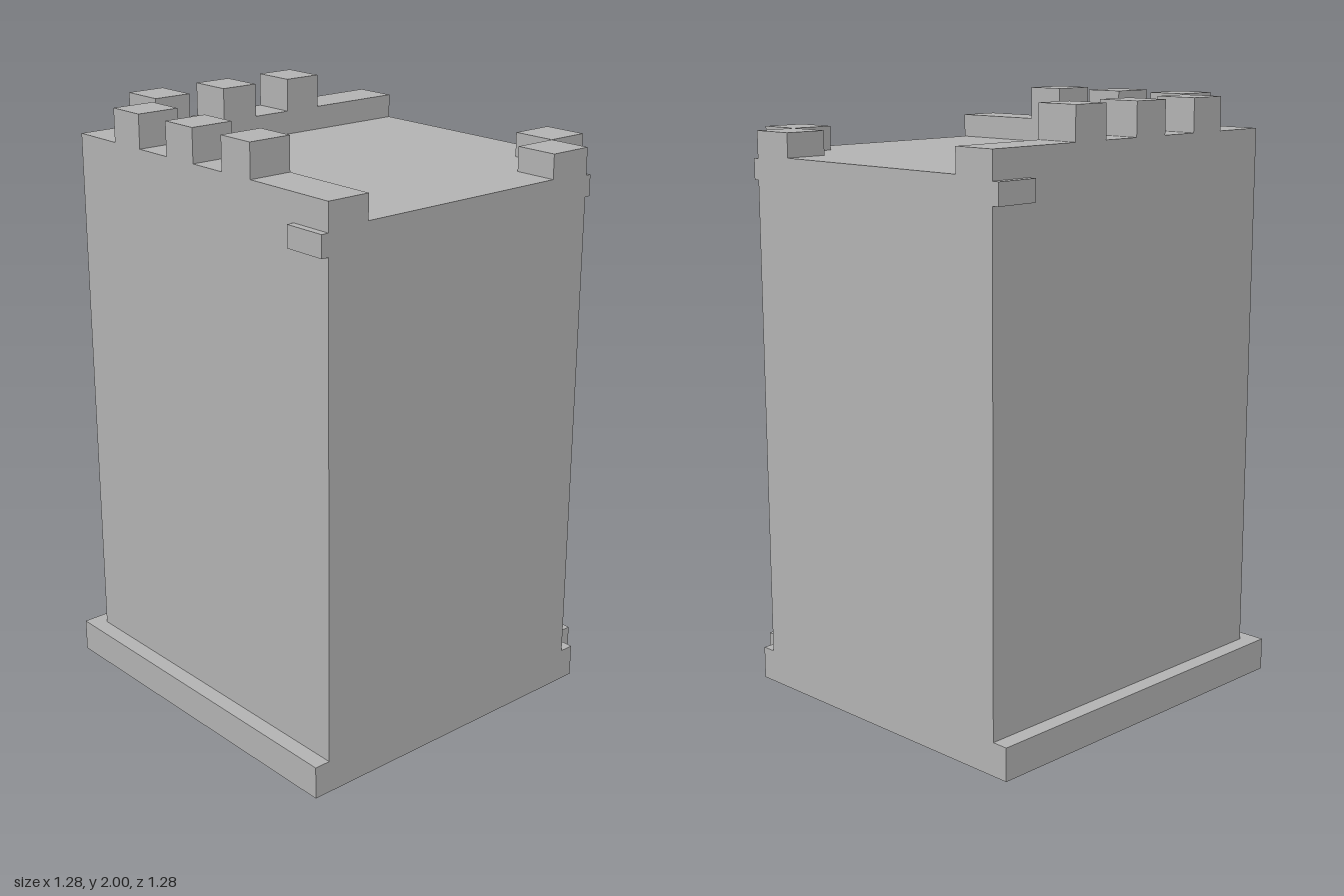
import * as THREE from 'three';

export function createModel() {
  const group = new THREE.Group();
  const stone = new THREE.MeshStandardMaterial({ color: 0xb4b4b4 });
  stone.name = 'grey stone';

  const add = (name, geometry) => {
    const mesh = new THREE.Mesh(geometry, stone);
    mesh.name = name;
    group.add(mesh);
  };
  // Box given by its limits on each axis
  const box = (name, x0, x1, y0, y1, z0, z1) => {
    const g = new THREE.BoxGeometry(x1 - x0, y1 - y0, z1 - z0);
    g.translate((x0 + x1) / 2, (y0 + y1) / 2, (z0 + z1) / 2);
    add(name, g);
  };
  // Upright prism from a plan outline in x and z
  const prism = (name, shape, y0, y1) => {
    const g = new THREE.ExtrudeGeometry(shape, { depth: y1 - y0, bevelEnabled: false });
    g.rotateX(Math.PI / 2);
    g.translate(0, y1, 0);
    add(name, g);
  };
  // Square plan with a notch in the front left corner
  const plan = (min, max, notch) => [
    [min, min], [max, min], [max, notch], [notch, notch], [notch, max], [min, max],
  ].map(([x, z]) => new THREE.Vector2(x, z));
  const ring = (outer, inner) => {
    const shape = new THREE.Shape(outer);
    shape.holes.push(new THREE.Path(inner));
    return shape;
  };

  const back = -0.585, inner = -0.435, edge = 0.64, notch = 0.49;
  const deck = 1.81, wallTop = 1.89;

  // Tower block and roof deck
  prism('towerBody', new THREE.Shape(plan(back, edge, notch)), 0.11, deck);

  // Hollow plinth: outer rim, inner frame and crossing ribs
  prism('plinthRim', ring(plan(-edge, edge, 0.54), plan(-0.6, 0.6, 0.5)), 0, 0.11);
  prism('plinthFrame', ring(plan(-0.57, 0.57, 0.47), plan(-0.53, 0.53, 0.43)), 0, 0.11);
  // Ledge on the sides where the plinth steps out past the walls
  prism('plinthLedge', new THREE.Shape(plan(-0.62, 0.62, 0.52)), 0.1, 0.11);
  box('plinthRibAcross', -0.62, 0.62, 0, 0.105, -0.03, 0.03);
  box('plinthRibAlong', -0.03, 0.03, 0, 0.105, -0.62, 0.62);

  // Parapet along the back and right sides
  box('backParapet', back, edge, deck, wallTop, back, inner);
  box('rightParapet', back, inner, deck, wallTop, inner, edge);

  // Merlons
  for (const s of [-0.325, -0.048, 0.228]) {
    box('backMerlon', s - 0.068, s + 0.068, wallTop, 2, back, inner);
    box('rightMerlon', back, inner, wallTop, 2, s - 0.068, s + 0.068);
  }

  // Raised blocks either side of the notch
  box('frontCornerBlock', 0.335, notch, deck, wallTop, notch, edge);
  box('leftCornerBlock', notch, edge, deck, wallTop, 0.335, notch);

  // Short trim bands at the wall ends and inside the notch
  box('backTrim', notch, edge, 1.73, 1.8, -0.61, back);
  box('rightTrim', -0.61, back, 1.73, 1.8, notch, edge);
  box('notchTrimSide', notch, 0.51, 1.73, 1.8, notch, edge);
  box('notchTrimFront', 0.51, edge, 1.73, 1.8, notch, 0.51);

  return group;
}
